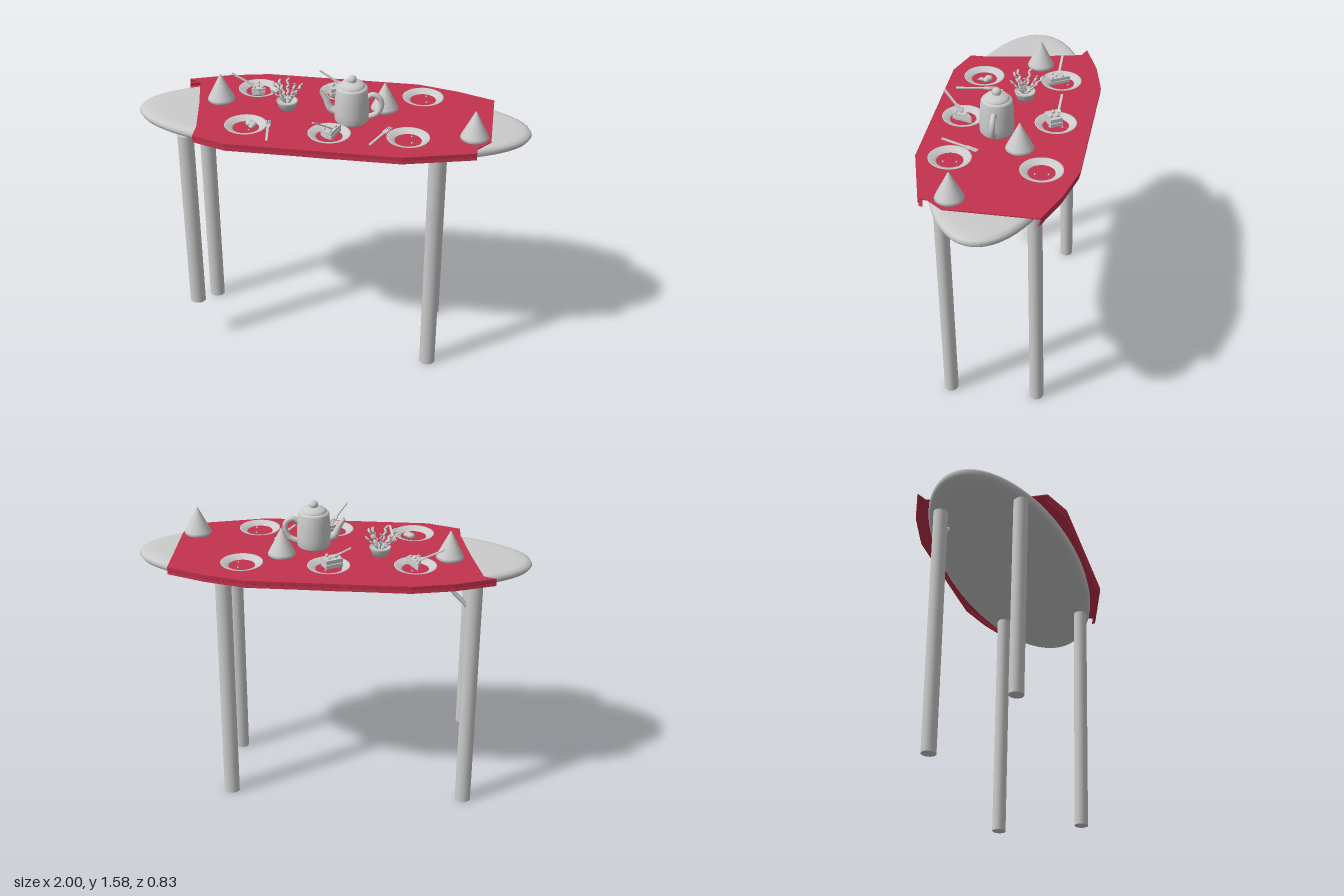
import * as THREE from 'three';

const grey = new THREE.MeshStandardMaterial({ color: 0xcccccc, side: THREE.DoubleSide });
const red = new THREE.MeshStandardMaterial({ color: 0xc4324d, side: THREE.DoubleSide });
const V = (x, y, z) => new THREE.Vector3(x, y, z);
const CLOTH_Y = 1.336;

function add(parent, name, geometry, x = 0, y = 0, z = 0, material = grey) {
  const mesh = new THREE.Mesh(geometry, material);
  mesh.name = name;
  mesh.position.set(x, y, z);
  parent.add(mesh);
  return mesh;
}

function lathe(points, segments = 32) {
  return new THREE.LatheGeometry(points.map(p => new THREE.Vector2(p[0], p[1])), segments);
}

// Round rod between two points
function rod(parent, name, a, b, r0, r1 = r0, sides = 16) {
  const dir = b.clone().sub(a);
  const mesh = add(parent, name, new THREE.CylinderGeometry(r1, r0, dir.length(), sides));
  mesh.position.copy(a).addScaledVector(dir, 0.5);
  mesh.quaternion.setFromUnitVectors(V(0, 1, 0), dir.normalize());
  return mesh;
}

// Fork with handle, flat head and three tines, running from handle end to tip
function fork(parent, from, to) {
  const g = new THREE.Group();
  g.name = 'fork';
  const L = from.distanceTo(to);
  add(g, 'forkHandle', new THREE.BoxGeometry(0.012, 0.006, L * 0.7), 0, 0, L * 0.35);
  add(g, 'forkHead', new THREE.BoxGeometry(0.024, 0.006, L * 0.13), 0, 0, L * 0.75);
  for (const x of [-0.009, 0, 0.009])
    add(g, 'forkTine', new THREE.BoxGeometry(0.005, 0.005, L * 0.2), x, 0, L * 0.9);
  g.position.copy(from);
  g.lookAt(to);
  parent.add(g);
}

// Wedge of cake with toppings, pointing along +x before turning
function cakeSlice(parent, x, z, turn) {
  const g = new THREE.Group();
  g.name = 'cakeSlice';
  const s = new THREE.Shape();
  s.moveTo(0.06, 0);
  s.lineTo(-0.045, 0.036);
  s.lineTo(-0.052, 0);
  s.lineTo(-0.045, -0.036);
  s.closePath();
  [0, 0.019].forEach(y => {
    const geo = new THREE.ExtrudeGeometry(s, { depth: 0.016, bevelEnabled: false });
    add(g, 'cakeLayer', geo.rotateX(-Math.PI / 2), 0, y, 0);
  });
  for (const [tx, tz] of [[-0.034, 0.02], [-0.034, -0.02], [-0.015, 0], [0.02, 0]])
    add(g, 'cakeTopping', new THREE.SphereGeometry(0.008, 10, 8), tx, 0.038, tz);
  g.position.set(x, CLOTH_Y + 0.008, z);
  g.rotation.y = turn;
  parent.add(g);
}

function buildTable(model) {
  // Oval top with a rounded rim
  const top = add(model, 'tableTop', lathe([
    [0, 1.268], [0.9, 1.268], [0.955, 1.271], [0.988, 1.282], [1, 1.298],
    [0.99, 1.314], [0.965, 1.323], [0.9, 1.327], [0, 1.327]], 72));
  top.scale.z = 0.365;
  top.rotation.y = -0.035;

  // Slightly leaning legs; one ends above the floor
  for (const [x, z, y] of [[-0.705, -0.24, 0], [0.545, -0.215, 0], [0.545, 0.24, 0], [-0.715, 0.17, 0.245]])
    rod(model, 'leg', V(x, y, z), V(x, 1.275, z + 0.024), 0.041, 0.041, 24).scale.z = 0.88;
  rod(model, 'brace', V(-0.68, 1.135, -0.22), V(-0.55, 1.275, -0.22), 0.011, 0.011, 10);
}

function buildCloth(model) {
  const back = [[-0.8, -0.31], [-0.6, -0.38], [-0.39, -0.42], [0.41, -0.39], [0.62, -0.33], [0.81, -0.25]];
  const front = [[0.735, 0.325], [0.38, 0.41], [-0.48, 0.38], [-0.65, 0.315]];
  const outline = [...back, [0.8, 0.2], [0.735, 0.28], ...front, [-0.65, 0.22], [-0.69, -0.03], [-0.74, -0.285]];
  const shape = new THREE.Shape(outline.map(([x, z]) => new THREE.Vector2(x, -z)));
  const sheet = new THREE.ExtrudeGeometry(shape, { depth: 0.005, bevelEnabled: false }).rotateX(-Math.PI / 2);
  add(model, 'clothSheet', sheet, 0, CLOTH_Y - 0.005, 0, red);

  // Hanging hem along the two long sides: stepped section swept along each edge
  const section = [[0.985, CLOTH_Y - 0.002], [1, CLOTH_Y - 0.004], [0.998, 1.317], [0.98, 1.313], [0.985, 1.296], [0.93, 1.293]];
  for (const edge of [back, front]) {
    const pos = [], idx = [], n = section.length;
    edge.forEach(([x, z]) => section.forEach(([k, y]) => pos.push(x, y, z * k)));
    for (let i = 0; i < edge.length - 1; i++)
      for (let j = 0; j < n - 1; j++) {
        const a = i * n + j, b = a + n;
        idx.push(a, b, a + 1, b, b + 1, a + 1);
      }
    const geo = new THREE.BufferGeometry();
    geo.setAttribute('position', new THREE.Float32BufferAttribute(pos, 3));
    geo.setIndex(idx);
    const hem = geo.toNonIndexed();
    hem.computeVertexNormals();
    add(model, 'clothHem', hem, 0, 0, 0, red);
  }
}

function buildTeapot(model) {
  const pot = new THREE.Group();
  pot.name = 'teapot';
  pot.position.set(0.105, CLOTH_Y, 0.055);
  add(pot, 'teapotBody', lathe([[0, 0], [0.078, 0], [0.085, 0.01], [0.087, 0.05], [0.084, 0.12],
    [0.079, 0.175], [0.073, 0.185], [0.058, 0.188]], 40));
  add(pot, 'teapotLid', lathe([[0.064, 0.186], [0.064, 0.193], [0.054, 0.203], [0.03, 0.211], [0.012, 0.214], [0, 0.214]], 40));
  add(pot, 'teapotKnob', new THREE.SphereGeometry(0.023, 20, 14), 0, 0.222, 0);
  const handle = new THREE.CatmullRomCurve3([V(0.07, 0.125, 0), V(0.105, 0.146, 0), V(0.14, 0.125, 0),
    V(0.146, 0.085, 0), V(0.125, 0.045, 0), V(0.075, 0.022, 0)]);
  add(pot, 'teapotHandle', new THREE.TubeGeometry(handle, 32, 0.014, 12));

  // Spout: tube narrowed towards its tip
  const spout = new THREE.CatmullRomCurve3([V(-0.07, 0.045, 0), V(-0.105, 0.06, 0), V(-0.13, 0.11, 0), V(-0.156, 0.15, 0)]);
  const geo = new THREE.TubeGeometry(spout, 20, 0.024, 14);
  const p = geo.attributes.position, c = V(0, 0, 0), v = V(0, 0, 0);
  for (let i = 0; i < p.count; i++) {
    const t = Math.floor(i / 15) / 20;
    spout.getPointAt(t, c);
    v.fromBufferAttribute(p, i).sub(c).multiplyScalar(1 - 0.6 * t).add(c);
    p.setXYZ(i, v.x, v.y, v.z);
  }
  geo.computeVertexNormals();
  add(pot, 'teapotSpout', geo);
  model.add(pot);
}

function buildPlant(model) {
  const plant = new THREE.Group();
  plant.name = 'plant';
  plant.position.set(-0.235, CLOTH_Y, -0.04);
  add(plant, 'flowerPot', lathe([[0, 0], [0.042, 0], [0.053, 0.036], [0.055, 0.042], [0.048, 0.042], [0.044, 0.034], [0, 0.034]], 24));
  // Stems fanning outwards, each with paired leaves
  for (let i = 0; i < 9; i++) {
    const a = i * 2.4, lean = 0.05 + 0.045 * ((i * 5) % 9) / 8;
    const tip = V(Math.cos(a) * lean - 0.01, 0.165 - lean * 0.65, Math.sin(a) * lean - 0.005);
    const base = V(Math.cos(a) * 0.012, 0.03, Math.sin(a) * 0.012);
    rod(plant, 'stem', base, tip, 0.004, 0.002, 6);
    for (let k = 0; k < 5; k++) {
      const q = base.clone().lerp(tip, 0.4 + 0.15 * k);
      const leaf = add(plant, 'leaf', new THREE.SphereGeometry(0.015, 8, 6), q.x, q.y, q.z);
      leaf.scale.set(1, 0.3, 0.5);
      leaf.rotation.set(0, -a + (k % 2 ? 0.9 : -0.9), 0.7);
    }
  }
  model.add(plant);
}

function buildSettings(model) {
  // Plates: open rims with the cloth showing in the middle
  const rim = lathe([[0.066, 0.001], [0.074, 0.004], [0.104, 0.016], [0.106, 0.019], [0.1, 0.019], [0.074, 0.008], [0.066, 0.001]], 40);
  const plates = [[-0.41, -0.21], [0.015, -0.228], [0.445, -0.21], [-0.405, 0.2], [0.015, 0.24], [0.4, 0.237]];
  for (const [x, z] of plates) {
    add(model, 'plate', rim, x, CLOTH_Y, z);
    for (const [dx, dz] of [[0.015, -0.035], [0.02, 0.03]])
      add(model, 'crumb', new THREE.SphereGeometry(0.005, 8, 6), x + dx, CLOTH_Y + 0.004, z + dz);
  }

  // Cake, a square piece, a bitten remnant and the forks
  cakeSlice(model, -0.41, -0.195, 1.75);
  cakeSlice(model, 0.03, 0.235, 0.9);
  for (const y of [0.019, 0.043])
    add(model, 'cakeBlock', new THREE.BoxGeometry(0.09, 0.02, 0.065), 0, CLOTH_Y + y, -0.215).rotation.y = 0.5;
  for (const [x, y, z] of [[-0.02, 0.06, -0.21], [0.01, 0.06, -0.235], [0.025, 0.06, -0.205]])
    add(model, 'cakeTopping', new THREE.SphereGeometry(0.01, 10, 8), x, CLOTH_Y + y, z);
  for (const [x, z, r] of [[-0.39, 0.175, 0.022], [-0.37, 0.185, 0.018], [-0.375, 0.21, 0.014]])
    add(model, 'cakeRemnant', new THREE.SphereGeometry(r, 10, 8), x, CLOTH_Y + 0.014, z).scale.y = 0.7;
  fork(model, V(-0.55, 1.435, -0.2), V(-0.41, 1.365, -0.19));
  fork(model, V(-0.095, 1.455, -0.245), V(0.015, 1.39, -0.235));
  fork(model, V(-0.05, 1.46, 0.345), V(0.025, 1.385, 0.245));
  fork(model, V(-0.28, CLOTH_Y + 0.005, 0.33), V(-0.305, CLOTH_Y + 0.005, 0.12));
  fork(model, V(0.22, CLOTH_Y + 0.005, 0.31), V(0.305, CLOTH_Y + 0.005, 0.12));

  // Folded napkin cones
  for (const [x, z] of [[-0.583, -0.08], [0.258, -0.08], [0.718, 0.18]])
    add(model, 'napkinCone', lathe([[0, 0], [0.06, 0], [0.071, 0.01], [0.066, 0.022], [0.003, 0.148], [0, 0.15]], 32), x, CLOTH_Y, z);
}

export function createModel() {
  const model = new THREE.Group();
  model.name = 'laidTable';
  buildTable(model);
  buildCloth(model);
  buildTeapot(model);
  buildPlant(model);
  buildSettings(model);
  return model;
}
